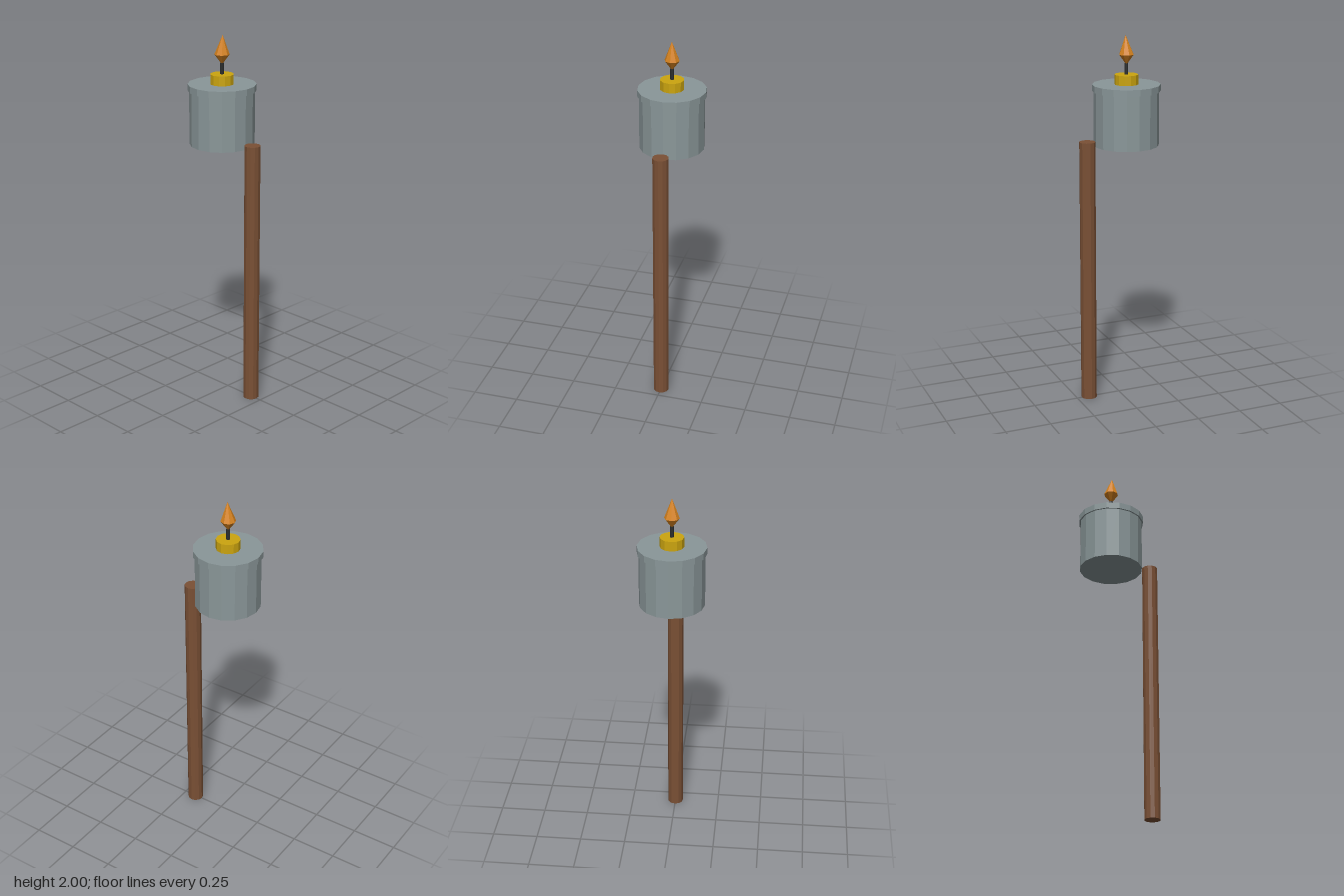
import * as THREE from 'three';

const material = (name, color) => {
  const m = new THREE.MeshStandardMaterial({ color, flatShading: true });
  m.name = name;
  return m;
};

export function createModel() {
  const group = new THREE.Group();
  const metal = material('grey metal', 0x8a9799);
  const brass = material('brass', 0xcca50f);
  const wood = material('brown wood', 0x7a5035);
  const black = material('charred wick', 0x2b2d2d);
  const fire = material('orange flame', 0xd5821f);
  const axisX = -0.043;

  // Upright faceted cylinder (or cone) from y0 to y1
  const add = (name, mat, x, y0, y1, rTop, rBottom, sides, open = false) => {
    const geo = new THREE.CylinderGeometry(rTop, rBottom, y1 - y0, sides, 1, open);
    const mesh = new THREE.Mesh(geo, mat);
    mesh.name = name;
    mesh.position.set(x, (y0 + y1) / 2, 0);
    group.add(mesh);
    return mesh;
  };

  // Wooden pole beside the canister
  add('pole', wood, 0.18, 0, 1.45, 0.043, 0.043, 12);

  // Fuel canister with its lid and burner
  add('canister', metal, axisX, 1.415, 1.706, 0.173, 0.173, 16);
  add('lid', metal, axisX, 1.706, 1.741, 0.181, 0.181, 16);
  add('burnerCollar', brass, axisX, 1.741, 1.793, 0.063, 0.063, 12);
  add('wick', black, axisX, 1.793, 1.852, 0.01, 0.01, 8);

  // Flame: two cones base to base, with the tip leaning slightly sideways
  add('flameBase', fire, axisX, 1.848, 1.897, 0.04, 0.004, 8);
  const tip = add('flameTip', fire, axisX, 1.897, 2, 0, 0.04, 8, true);
  const pos = tip.geometry.attributes.position;
  for (let i = 0; i < pos.count; i++) {
    if (pos.getY(i) > 0) pos.setX(i, pos.getX(i) + 0.005);
  }
  tip.geometry.computeVertexNormals();

  return group;
}
